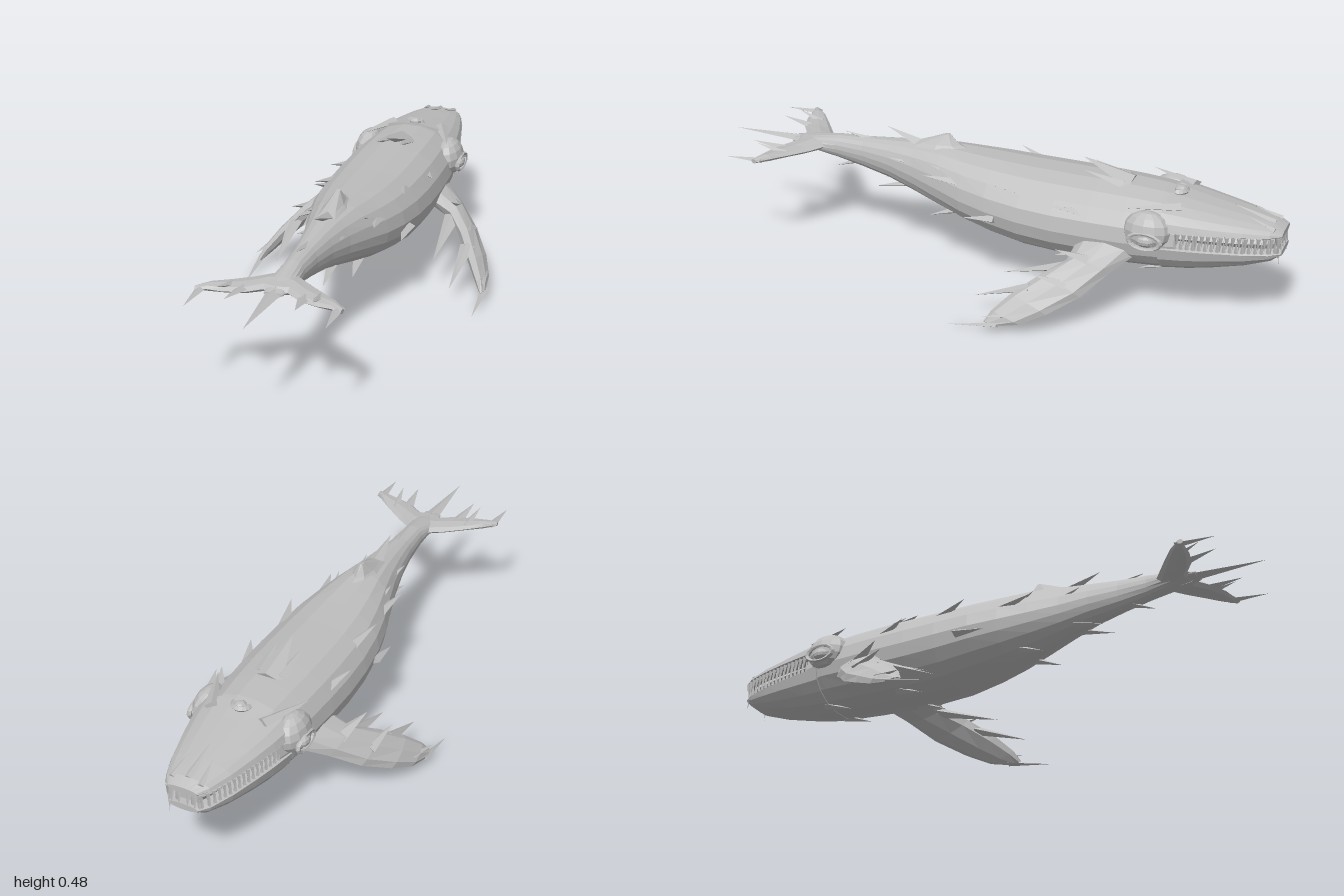
import * as THREE from 'three';

const V = (a) => new THREE.Vector3(...a);

// Skin through a list of rings (counterclockwise about the direction of travel), closed at both ends
function loft(rings) {
  const n = rings[0].length, pos = [], idx = [];
  rings.forEach((r) => r.forEach((p) => pos.push(p.x, p.y, p.z)));
  for (let i = 0; i < rings.length - 1; i++) for (let j = 0; j < n; j++) {
    const a = i * n + j, b = i * n + (j + 1) % n;
    idx.push(a, b, b + n, a, b + n, a + n);
  }
  const end = (rings.length - 1) * n;
  for (let j = 1; j < n - 1; j++) idx.push(0, j + 1, j, end, end + j, end + j + 1);
  const g = new THREE.BufferGeometry();
  g.setAttribute('position', new THREE.Float32BufferAttribute(pos, 3));
  g.setIndex(idx);
  g.computeVertexNormals();
  return g;
}

// Body sections along z: [z, half width, top, bottom, height of widest point]
function hull(sections, sides = 18) {
  return loft(sections.map(([z, w, top, bot, mid]) => Array.from({ length: sides }, (_, j) => {
    const a = (j / sides) * Math.PI * 2, s = Math.sin(a), c = Math.cos(a);
    const x = Math.sign(c) * Math.abs(c) ** 0.9 * w;
    return new THREE.Vector3(x, mid + s * (s > 0 ? top - mid : mid - bot), z);
  })));
}

// Flat limb from sections: [leading edge, trailing edge, half thickness]
function limb(sections) {
  const mids = sections.map(([l, t]) => V(l).add(V(t)).multiplyScalar(0.5));
  return loft(sections.map(([l, t, thick], i) => {
    const chord = V(t).sub(V(l)).multiplyScalar(0.5);
    const dir = mids[Math.min(i + 1, mids.length - 1)].clone().sub(mids[Math.max(i - 1, 0)]);
    const n = chord.clone().cross(dir).normalize().multiplyScalar(thick);
    return Array.from({ length: 8 }, (_, j) => {
      const a = (j / 8) * Math.PI * 2;
      return mids[i].clone().addScaledVector(n, Math.cos(a)).addScaledVector(chord, Math.sin(a));
    });
  }));
}

// Four-sided thorn from base to tip; wide is the direction of its broad side
function thorn(base, tip, w, t = w * 0.6, wide = [1, 0, 0]) {
  const b = V(base), y = V(tip).sub(b), len = y.length();
  y.normalize();
  const z = V(wide).cross(y).normalize(), x = y.clone().cross(z);
  const g = new THREE.ConeGeometry(1, 1, 4);
  g.translate(0, 0.5, 0).scale(w, len, t);
  return g.applyMatrix4(new THREE.Matrix4().makeBasis(x, y, z).setPosition(b));
}

// Mirror across x, keeping faces outward
function mirrored(geo) {
  const g = geo.clone().scale(-1, 1, 1), ix = g.index;
  for (let i = 0; i < ix.count; i += 3) {
    const a = ix.getX(i);
    ix.setX(i, ix.getX(i + 2));
    ix.setX(i + 2, a);
  }
  g.computeVertexNormals();
  return g;
}

export function createModel() {
  const model = new THREE.Group();
  const grey = new THREE.MeshStandardMaterial({ color: 0xbdbdbd, flatShading: true });
  grey.name = 'grey skin';
  const add = (name, geo) => {
    const m = new THREE.Mesh(geo, grey);
    m.name = name;
    model.add(m);
  };
  const pair = (name, geo) => {
    add(name + 'Left', geo);
    add(name + 'Right', mirrored(geo));
  };

  // Trunk from the corner of the mouth to the tail stalk
  add('body', hull([
    [-0.67, 0.15, 0.412, 0.17, 0.29], [-0.6, 0.168, 0.425, 0.162, 0.29], [-0.5, 0.178, 0.43, 0.157, 0.285],
    [-0.38, 0.184, 0.432, 0.152, 0.285], [-0.26, 0.185, 0.432, 0.15, 0.285], [-0.14, 0.18, 0.432, 0.155, 0.29],
    [-0.02, 0.166, 0.435, 0.175, 0.3], [0.08, 0.143, 0.438, 0.197, 0.31], [0.18, 0.112, 0.442, 0.225, 0.325],
    [0.28, 0.082, 0.435, 0.255, 0.34], [0.38, 0.06, 0.425, 0.285, 0.355], [0.48, 0.044, 0.415, 0.305, 0.362],
    [0.58, 0.038, 0.408, 0.325, 0.366], [0.67, 0.045, 0.392, 0.345, 0.367], [0.75, 0.03, 0.375, 0.36, 0.368],
  ]));

  // Head: jaws and the inner mouth behind the teeth
  const jaw = [[-0.995, 0.052, 0.352, 0.268], [-0.96, 0.078, 0.368, 0.24], [-0.88, 0.108, 0.382, 0.212],
    [-0.78, 0.135, 0.397, 0.188], [-0.7, 0.153, 0.41, 0.172], [-0.62, 0.167, 0.424, 0.163]];
  add('upperJaw', hull(jaw.map(([z, w, top]) => [z, w, top, 0.332, 0.342])));
  add('lowerJaw', hull(jaw.map(([z, w, , bot]) => [z, w * 0.99, 0.29, bot, 0.28])));
  add('innerMouth', hull(jaw.map(([z, w]) => [z + 0.025, w * 0.84, 0.345, 0.275, 0.31]), 8));

  // Teeth follow the jaw outline
  const widthAt = (z) => {
    const i = Math.max(1, jaw.findIndex((s) => s[0] >= z));
    const [a, b] = [jaw[i - 1], jaw[i]];
    return THREE.MathUtils.lerp(a[1], b[1], (z - a[0]) / (b[0] - a[0]));
  };
  for (let i = 0; i < 17; i++) {
    const z = -0.985 + i * 0.019, x = widthAt(z) * 0.95, l = i % 4 === 1 ? 0.055 : 0.042;
    pair('upperTooth', thorn([x, 0.338, z], [x + 0.004, 0.338 - l, z], 0.008, 0.008));
    pair('lowerTooth', thorn([x * 0.98, 0.284, z + 0.009], [x * 0.98 + 0.003, 0.284 + l, z + 0.009], 0.007, 0.007));
  }
  for (const x of [0.015, 0.04]) {
    pair('frontTooth', thorn([x, 0.34, -0.985], [x, 0.27, -0.996], 0.008));
    pair('frontLowerTooth', thorn([x + 0.012, 0.28, -0.98], [x + 0.012, 0.335, -0.99], 0.008));
  }
  pair('fang', thorn([0.05, 0.345, -0.98], [0.052, 0.24, -0.99], 0.011));

  // Eye bulges with rimmed eyes
  const bulge = new THREE.SphereGeometry(1, 12, 8).scale(0.048, 0.065, 0.078).rotateZ(0.15).translate(0.152, 0.335, -0.58);
  pair('eyeBulge', bulge);
  const lid = new THREE.TorusGeometry(0.045, 0.008, 5, 14).scale(1.15, 0.6, 1).rotateY(Math.PI / 2);
  pair('eyelid', lid.translate(0.195, 0.315, -0.585));
  pair('eye', new THREE.SphereGeometry(0.025, 10, 6).scale(0.7, 0.8, 1.2).translate(0.19, 0.315, -0.585));
  pair('brow', thorn([0.09, 0.405, -0.67], [0.165, 0.405, -0.5], 0.025, 0.015));

  // Blowhole and nose ridges
  add('blowhole', new THREE.TorusGeometry(0.026, 0.011, 5, 9, Math.PI).rotateX(-Math.PI / 2).translate(0, 0.422, -0.635));
  add('blowholeBump', new THREE.SphereGeometry(0.022, 8, 5).scale(1, 0.6, 1).translate(0, 0.425, -0.645));
  add('snoutRidge', thorn([0, 0.365, -0.96], [0, 0.405, -0.82], 0.015));
  pair('snoutThorn', thorn([0.05, 0.36, -0.97], [0.04, 0.39, -0.88], 0.012));

  // Dorsal fin and thorns along the back
  add('dorsalFin', limb([
    [[0, 0.42, 0.05], [0, 0.415, 0.36], 0.055], [[0, 0.445, 0.13], [0, 0.44, 0.28], 0.03],
    [[0, 0.48, 0.165], [0, 0.475, 0.19], 0.008],
  ]));
  add('backThorn', thorn([0, 0.42, -0.48], [0, 0.48, -0.31], 0.055, 0.025));
  pair('backThornSide', thorn([0.035, 0.42, -0.46], [0.045, 0.455, -0.33], 0.025, 0.015));
  add('rearBackThorn', thorn([0, 0.42, 0.26], [0, 0.47, 0.4], 0.03, 0.02));
  add('tailBackThorn', thorn([0, 0.40, 0.42], [0, 0.425, 0.56], 0.02, 0.015));

  // Thorns on the flanks, belly and tail: [base, tip, width]
  [
    [[0.12, 0.375, -0.15], [0.16, 0.405, -0.03], 0.026], [[0.105, 0.36, 0.08], [0.135, 0.378, 0.21], 0.026],
    [[0.075, 0.36, 0.1], [0.1, 0.405, 0.2], 0.022], [[0.05, 0.37, 0.26], [0.075, 0.39, 0.36], 0.018],
    [[0.14, 0.35, -0.36], [0.185, 0.375, -0.26], 0.025], [[0.165, 0.28, -0.06], [0.175, 0.27, 0.05], 0.024],
    [[0.07, 0.17, -0.34], [0.08, 0.14, -0.24], 0.025], [[0.06, 0.18, -0.64], [0.065, 0.145, -0.53], 0.022],
    [[0.05, 0.235, 0.1], [0.065, 0.195, 0.22], 0.025], [[0.03, 0.28, 0.32], [0.04, 0.255, 0.43], 0.018],
  ].forEach(([b, t, w]) => pair('bodyThorn', thorn(b, t, w)));
  add('tailBellyThorn', thorn([0, 0.325, 0.5], [0, 0.285, 0.6], 0.018));

  // Front flippers with thorns
  pair('flipper', limb([
    [[0.14, 0.24, -0.55], [0.15, 0.26, -0.35], 0.04], [[0.22, 0.19, -0.48], [0.23, 0.22, -0.34], 0.034],
    [[0.3, 0.13, -0.41], [0.29, 0.18, -0.27], 0.028], [[0.365, 0.08, -0.32], [0.345, 0.12, -0.19], 0.023],
    [[0.4, 0.045, -0.24], [0.385, 0.07, -0.14], 0.017], [[0.415, 0.03, -0.16], [0.405, 0.035, -0.12], 0.008],
  ]));
  [
    [[0.41, 0.035, -0.17], [0.41, 0.002, 0], 0.014], [[0.235, 0.205, -0.36], [0.235, 0.13, -0.12], 0.03],
    [[0.32, 0.145, -0.25], [0.315, 0.07, -0.05], 0.026], [[0.22, 0.225, -0.42], [0.27, 0.27, -0.31], 0.03],
    [[0.3, 0.165, -0.36], [0.33, 0.2, -0.25], 0.025], [[0.385, 0.07, -0.22], [0.42, 0.06, -0.12], 0.018],
  ].forEach(([b, t, w]) => pair('flipperThorn', thorn(b, t, w)));

  // Tail flukes with trailing thorns
  pair('fluke', limb([
    [[0, 0.368, 0.58], [0, 0.368, 0.75], 0.022], [[0.04, 0.37, 0.62], [0.04, 0.37, 0.73], 0.018],
    [[0.09, 0.368, 0.655], [0.09, 0.368, 0.765], 0.015], [[0.15, 0.37, 0.7], [0.15, 0.37, 0.785], 0.012],
    [[0.2, 0.372, 0.74], [0.2, 0.372, 0.79], 0.012], [[0.238, 0.37, 0.78], [0.235, 0.37, 0.8], 0.008],
  ]));
  pair('flukeTipThorn', thorn([0.22, 0.37, 0.77], [0.225, 0.365, 0.905], 0.018, 0.01));
  pair('flukeThorn', thorn([0.1, 0.37, 0.74], [0.113, 0.385, 0.86], 0.022, 0.012));
  pair('flukeTopThorn', thorn([0.14, 0.37, 0.72], [0.155, 0.4, 0.82], 0.018, 0.012));
  add('tailSpike', thorn([0, 0.368, 0.7], [0, 0.365, 0.985], 0.03, 0.014));
  return model;
}
